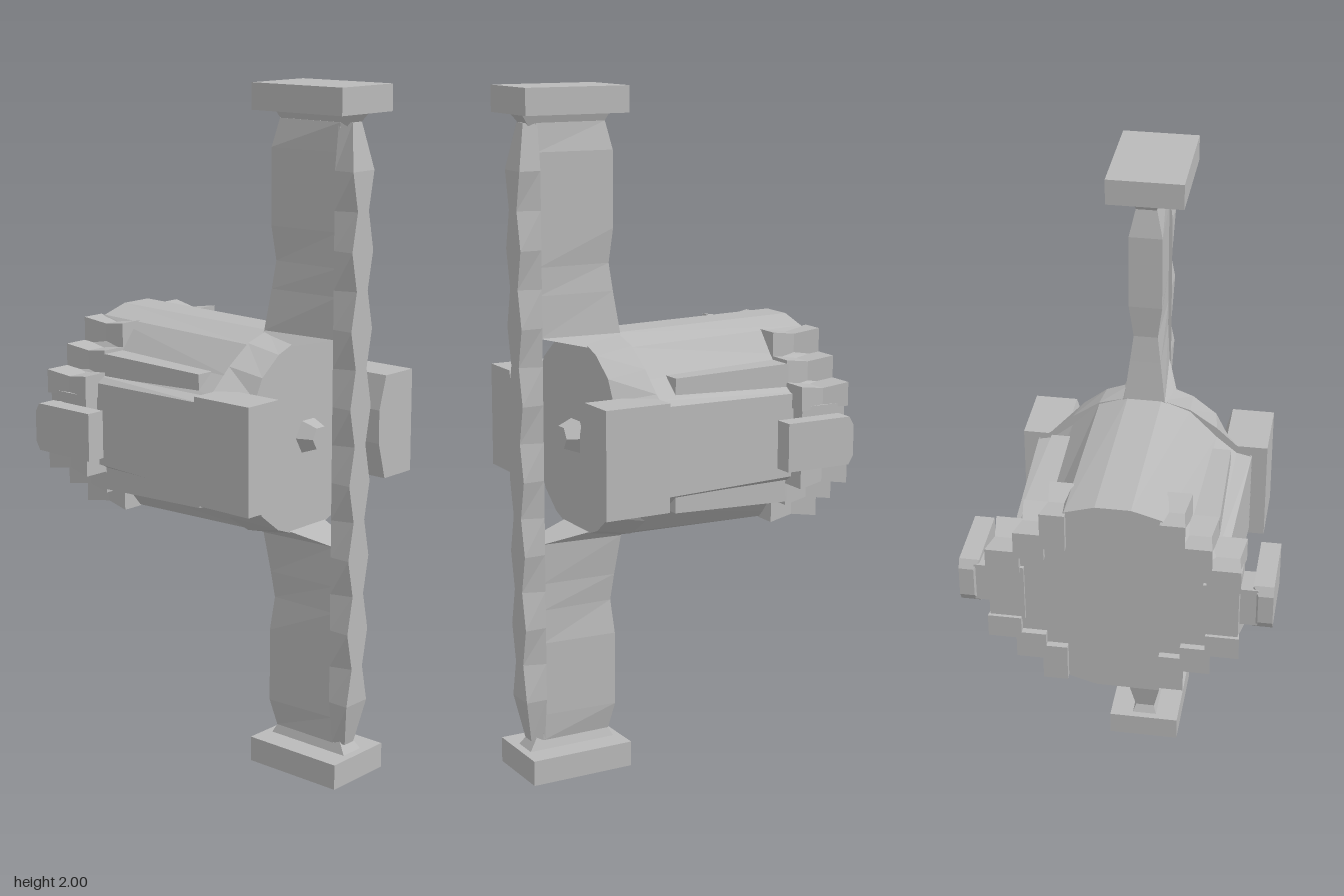
import * as THREE from 'three';

const grey = new THREE.MeshStandardMaterial({ color: 0xb9b9b9 });
grey.name = 'hullGrey';
grey.flatShading = true;

// Closed solid along x from sections { x, pts: [[z, y], ...] }, points running from +y towards +z
function loft(sections) {
  const pos = [];
  const n = sections[0].pts.length;
  const at = (s, i) => [s.x, s.pts[i % n][1], s.pts[i % n][0]];
  const mid = (s) => [s.x, s.pts.reduce((t, p) => t + p[1], 0) / n, s.pts.reduce((t, p) => t + p[0], 0) / n];
  for (let k = 0; k < sections.length - 1; k++) {
    const s = sections[k], e = sections[k + 1];
    for (let i = 0; i < n; i++) {
      const a = at(s, i), b = at(e, i), c = at(e, i + 1), d = at(s, i + 1);
      pos.push(...a, ...d, ...c, ...a, ...c, ...b);
    }
  }
  const first = sections[0], last = sections[sections.length - 1];
  for (let i = 0; i < n; i++) {
    pos.push(...mid(first), ...at(first, i + 1), ...at(first, i));
    pos.push(...mid(last), ...at(last, i), ...at(last, i + 1));
  }
  const g = new THREE.BufferGeometry();
  g.setAttribute('position', new THREE.Float32BufferAttribute(pos, 3));
  g.computeVertexNormals();
  return g;
}

// Mirror a quarter outline (top to side) into a full ring
function ring(q) {
  const right = [...q, ...q.slice().reverse().map(([z, y]) => [z, -y])];
  return [...right, ...right.slice().reverse().map(([z, y]) => [-z, y])];
}

const rect = (z0, z1, y0, y1) => [[z0, y1], [z1, y1], [z1, y0], [z0, y0]];

// Upright solid from rows [height, xMin, xMax, halfWidthInner, halfWidthOuter]
function upright(rows) {
  return loft(rows.map(([h, x0, x1, w0, w1]) => ({
    x: h, pts: [[-w0, -x0], [w0, -x0], [w1, -x1], [-w1, -x1]],
  }))).rotateZ(Math.PI / 2);
}

function add(parent, name, geometry) {
  const m = new THREE.Mesh(geometry, grey);
  m.name = name;
  parent.add(m);
  return m;
}

function box(parent, name, x0, x1, y0, y1, z0, z1) {
  const m = add(parent, name, new THREE.BoxGeometry(x1 - x0, y1 - y0, z1 - z0));
  m.position.set((x0 + x1) / 2, (y0 + y1) / 2, (z0 + z1) / 2);
  return m;
}

export function createModel() {
  const model = new THREE.Group();
  model.name = 'station';
  const hub = new THREE.Group();
  hub.name = 'hub';
  hub.position.y = 1;
  model.add(hub);

  // Main drum with sunken shoulders, then its fuller head
  add(hub, 'drum', loft([
    { x: -0.435, pts: ring([[0.05, 0.31], [0.135, 0.285], [0.2, 0.205], [0.27, 0.14], [0.3, 0.12]]) },
    { x: 0.145, pts: ring([[0.05, 0.3], [0.135, 0.27], [0.215, 0.19], [0.275, 0.14], [0.32, 0.13]]) },
  ]));
  add(hub, 'drumHead', loft([
    { x: 0.14, pts: ring([[0.05, 0.3], [0.135, 0.275], [0.215, 0.22], [0.28, 0.16], [0.32, 0.13]]) },
    { x: 0.25, pts: ring([[0.05, 0.285], [0.13, 0.255], [0.2, 0.2], [0.23, 0.14], [0.25, 0.1]]) },
  ]));
  add(hub, 'axleCap', new THREE.CylinderGeometry(0.035, 0.055, 0.05, 6).rotateZ(-Math.PI / 2)).position.x = 0.272;

  // Stepped rear collar and long shoulder ribs in all four quarters
  for (const sz of [1, -1]) for (const sy of [1, -1]) {
    const steps = [[0.13, 0.2, 0.17, 0.285], [0.19, 0.275, 0.13, 0.215], [0.26, 0.355, 0.08, 0.15]];
    for (const [z0, z1, y0, y1] of steps) {
      const flip = (d) => {
        const [za, zb] = sz > 0 ? [z0, z1 - d] : [-z1 + d, -z0];
        const [ya, yb] = sy > 0 ? [y0, y1 - d] : [-y1 + d, -y0];
        return rect(za, zb, ya, yb);
      };
      add(hub, 'collarStep', loft([
        { x: -0.435, pts: flip(0.02) }, { x: -0.455, pts: flip(0) },
        { x: -0.375, pts: flip(0.012) }, { x: -0.295, pts: flip(0) },
      ].slice(1)));
    }
    const rib = (z0, z1, y0, y1) => rect(Math.min(sz * z0, sz * z1), Math.max(sz * z0, sz * z1),
      Math.min(sy * y0, sy * y1), Math.max(sy * y0, sy * y1));
    add(hub, 'shoulderRib', loft([
      { x: -0.3, pts: rib(0.18, 0.275, 0.12, 0.205) },
      { x: 0.07, pts: rib(0.18, 0.265, 0.12, 0.195) },
    ]));
  }

  // Each half carries a fin, end plate, side engine and rear pod
  for (const turn of [0, Math.PI]) {
    const half = new THREE.Group();
    half.name = 'half';
    half.rotation.x = turn;
    hub.add(half);

    add(half, 'fin', upright([
      [0.27, 0.135, 0.25, 0.09, 0.08],
      [0.3, 0.135, 0.38, 0.06, 0.04],
      [0.42, 0.15, 0.38, 0.045, 0.035],
      [0.5, 0.158, 0.38, 0.035, 0.035],
      [0.6, 0.15, 0.38, 0.048, 0.035],
      [0.82, 0.15, 0.38, 0.048, 0.035],
      [0.9, 0.165, 0.38, 0.03, 0.03],
    ]));
    add(half, 'finNeck', upright([[0.89, 0.17, 0.4, 0.025, 0.025], [0.93, 0.15, 0.43, 0.04, 0.04]]));
    add(half, 'endPlate', upright([
      [0.905, 0.135, 0.42, 0.02, 0.02], [0.925, 0.13, 0.45, 0.11, 0.11], [1, 0.13, 0.45, 0.11, 0.11],
    ].slice(1)));

    // Side engine block with a pointed inner face
    const engine = [[0.24, 0.16], [0.365, 0.16], [0.365, -0.15], [0.24, -0.15], [0.21, -0.05], [0.21, 0.05]];
    add(half, 'sideEngine', loft([{ x: 0.145, pts: engine }, { x: 0.345, pts: engine }]));

    // Rear collar side, tapered strut and pod
    box(half, 'collarSide', -0.445, -0.3, -0.09, 0.09, 0.25, 0.35);
    add(half, 'podStrut', loft([
      { x: -0.41, pts: rect(0.33, 0.4, -0.06, 0.06) },
      { x: -0.31, pts: rect(0.33, 0.39, -0.05, 0.05) },
    ]));
    add(half, 'pod', loft([
      { x: -0.415, pts: rect(0.4, 0.442, -0.045, 0.045) },
      { x: -0.4, pts: rect(0.385, 0.442, -0.07, 0.07) },
      { x: -0.195, pts: rect(0.385, 0.442, -0.07, 0.07) },
    ]));
  }

  // Full-height mast with a zigzag outer edge
  const rows = [[-0.9, 0.375, 0.415, 0.03, 0.02]];
  for (let k = -7; k <= 7; k++) rows.push([k * 0.11, 0.375, 0.44, 0.045, k % 2 ? 0.046 : 0.024]);
  rows.push([0.9, 0.375, 0.415, 0.03, 0.02]);
  add(hub, 'mast', upright(rows));

  return model;
}
